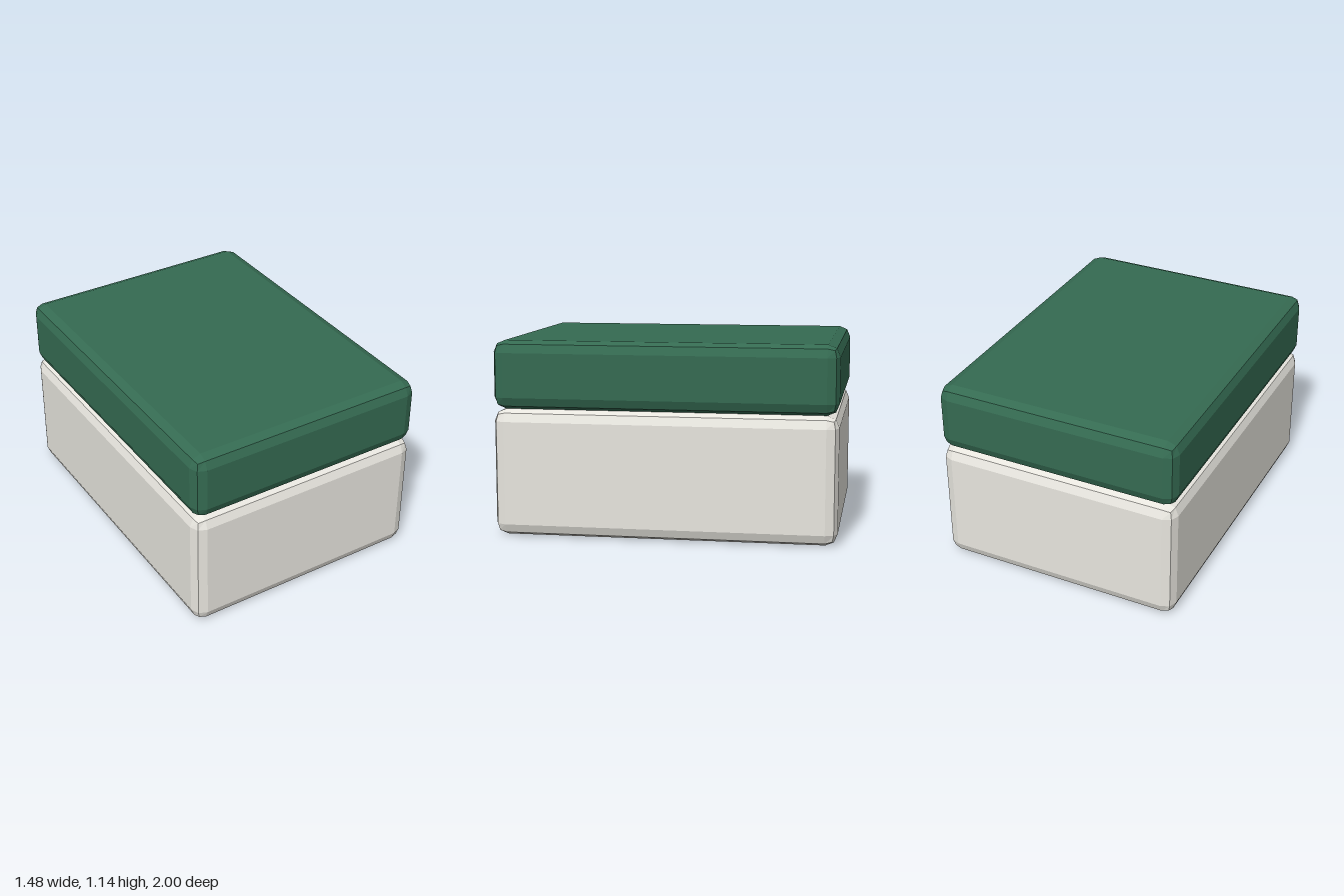
import * as THREE from 'three';
import { RoundedBoxGeometry } from 'three/addons/geometries/RoundedBoxGeometry.js';

const WIDTH = 1.48, DEPTH = 2, BEVEL = 0.07;

// Box with a two-facet bevel, standing on the given height
function bevelledBox(name, bottom, height, color) {
  const mesh = new THREE.Mesh(
    new RoundedBoxGeometry(WIDTH, height, DEPTH, 1, BEVEL),
    new THREE.MeshStandardMaterial({ color, flatShading: true })
  );
  mesh.name = name;
  mesh.position.y = bottom + height / 2;
  return mesh;
}

export function createModel() {
  const group = new THREE.Group();
  group.name = 'lidded box';
  group.add(
    bevelledBox('body', 0, 0.745, 0xe8e6df), // pale lower box
    bevelledBox('lid', 0.745, 0.4, 0x356b52) // green lid resting on it
  );
  return group;
}
